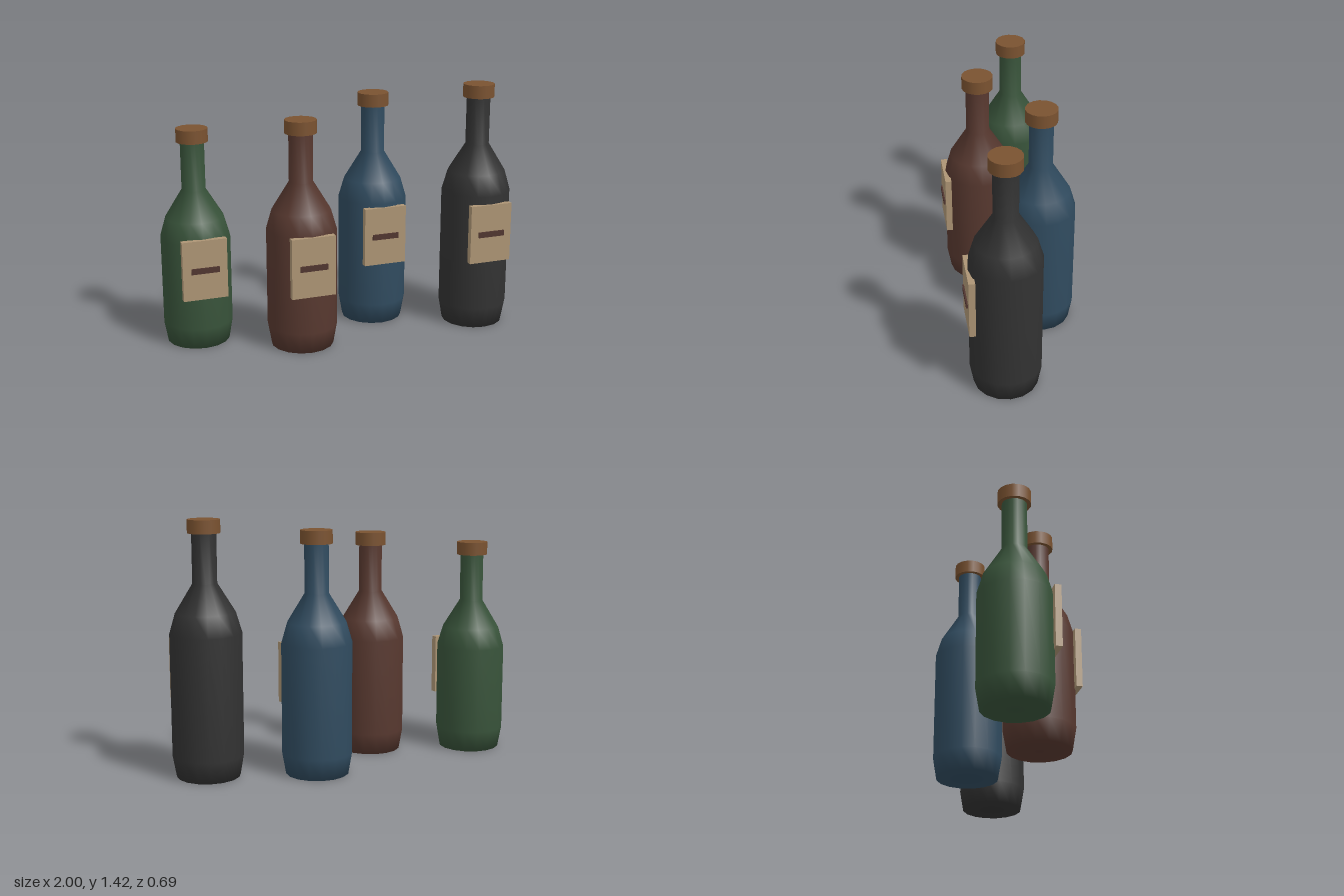
import * as THREE from 'three';

const mat = (name, color) => {
  const m = new THREE.MeshStandardMaterial({ color });
  m.name = name;
  return m;
};

export function createModel() {
  const group = new THREE.Group();
  group.name = 'bottles';

  const cork = mat('cork brown', 0x7a5230);
  const paper = mat('label tan', 0xac9474);
  const ink = mat('label stripe brown', 0x50352f);

  const SIDES = 16;
  const RADIUS = 0.197;

  const add = (parent, name, geometry, material, y, z = 0) => {
    const mesh = new THREE.Mesh(geometry, material);
    mesh.name = name;
    mesh.position.set(0, y, z);
    parent.add(mesh);
  };

  // One bottle; only the straight part of the body varies with the shoulder height
  const bottle = (name, glass, x, z, shoulder, labelY) => {
    const b = new THREE.Group();
    b.name = name;
    b.position.set(x, 0, z);

    const profile = [
      [0, 0], [0.176, 0], [RADIUS, 0.12], [RADIUS, shoulder],
      [0.164, shoulder + 0.113], [0.067, shoulder + 0.272], [0.067, shoulder + 0.56],
    ].map(([r, y]) => new THREE.Vector2(r, y));
    add(b, 'glassBody', new THREE.LatheGeometry(profile, SIDES), glass, 0);

    // Stopper over the neck
    add(b, 'stopper', new THREE.CylinderGeometry(0.089, 0.089, 0.074, SIDES), cork, shoulder + 0.579);

    // Label board with a thin stripe on its face
    add(b, 'label', new THREE.BoxGeometry(0.252, 0.34, 0.035), paper, labelY, 0.191);
    add(b, 'labelStripe', new THREE.BoxGeometry(0.158, 0.032, 0.009), ink, labelY - 0.001, 0.213);
    group.add(b);
  };

  bottle('greenBottle', mat('green glass', 0x38533a), -0.803, -0.147, 0.613, 0.475);
  bottle('redBottle', mat('red brown glass', 0x57382f), -0.267, 0.126, 0.676, 0.513);
  bottle('blueBottle', mat('blue glass', 0x304b5f), 0.266, -0.147, 0.738, 0.549);
  bottle('blackBottle', mat('black glass', 0x323232), 0.803, 0.126, 0.8, 0.585);

  return group;
}
